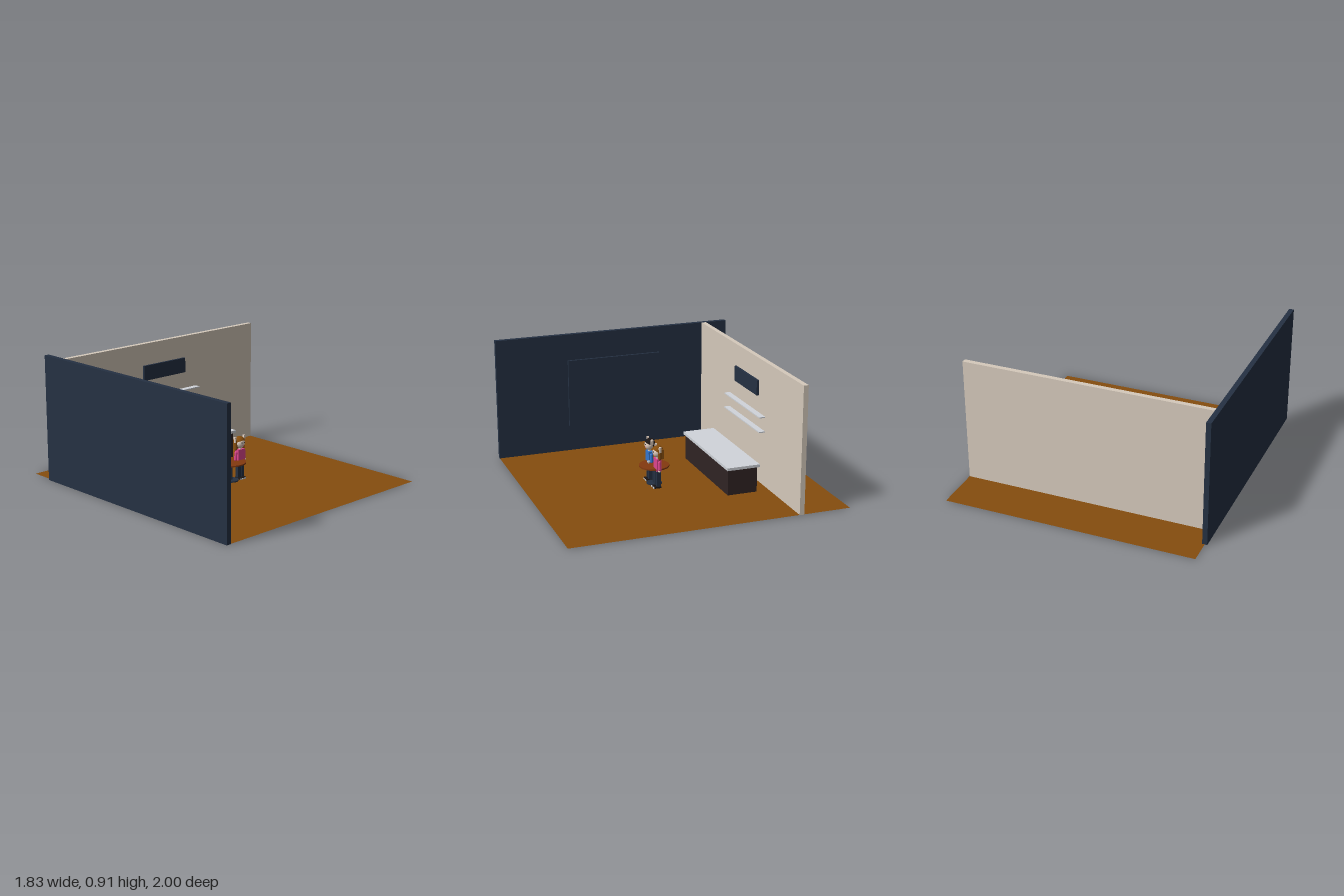
import * as THREE from 'three';

const mat = (name, color, side = THREE.FrontSide) => {
  const m = new THREE.MeshStandardMaterial({ color, side });
  m.name = name;
  return m;
};

export function createModel() {
  const wood = mat('brown wood', 0x854d0e, THREE.DoubleSide);
  const navy = mat('dark navy', 0x253143);
  const beige = mat('beige plaster', 0xd6cabc);
  const grey = mat('light grey', 0xd1d5db);
  const espresso = mat('dark espresso', 0x302424);
  const tableWood = mat('red brown', 0x84390f);
  const blue = mat('blue cloth', 0x3578d0);
  const pink = mat('pink cloth', 0xe0468f);
  const skin = mat('pale skin', 0xe6d2c2);
  const black = mat('near black', 0x1d1716);

  const root = new THREE.Group();
  root.name = 'cafeRoom';
  const add = (parent, name, geometry, material, x = 0, y = 0, z = 0) => {
    const mesh = new THREE.Mesh(geometry, material);
    mesh.name = name;
    mesh.position.set(x, y, z);
    parent.add(mesh);
    return mesh;
  };
  // Box given by its minimum and maximum on each axis
  const box = (parent, name, material, [x0, x1], [y0, y1], [z0, z1]) =>
    add(parent, name, new THREE.BoxGeometry(x1 - x0, y1 - y0, z1 - z0), material,
      (x0 + x1) / 2, (y0 + y1) / 2, (z0 + z1) / 2);

  // Room shell
  const floor = add(root, 'floor', new THREE.PlaneGeometry(1.815, 2), wood, 0.0075, 0.002, 0);
  floor.rotation.x = -Math.PI / 2;
  box(root, 'sideWall', navy, [-0.917, -0.882], [0, 0.91], [-0.82, 1]);
  box(root, 'backWall', beige, [-0.882, 0.915], [0, 0.91], [-0.657, -0.622]);
  box(root, 'wallPanel', navy, [-0.882, -0.863], [0.2, 0.712], [-0.27, 0.455]);

  // Menu board and shelves on the back wall
  box(root, 'menuBoard', navy, [-0.192, 0.208], [0.64, 0.75], [-0.622, -0.605]);
  for (const y of [0.4, 0.508]) box(root, 'shelf', grey, [-0.31, 0.325], [y, y + 0.008], [-0.622, -0.578]);

  // Service counter
  box(root, 'counterBody', espresso, [-0.405, 0.415], [0, 0.19], [-0.528, -0.308]);
  box(root, 'counterTop', grey, [-0.418, 0.434], [0.19, 0.21], [-0.54, -0.296]);

  // Round table with a cup
  const table = new THREE.Group();
  table.name = 'table';
  table.position.set(0.006, 0, 0.09);
  root.add(table);
  add(table, 'tableTop', new THREE.CylinderGeometry(0.108, 0.108, 0.01, 32), tableWood, 0, 0.138, 0);
  add(table, 'tablePost', new THREE.CylinderGeometry(0.011, 0.011, 0.133, 16), navy, 0, 0.0665, 0);
  add(table, 'tableBase', new THREE.CylinderGeometry(0.055, 0.055, 0.01, 32), navy, 0, 0.005, 0);
  add(table, 'cup', new THREE.CylinderGeometry(0.012, 0.009, 0.014, 16), grey, -0.042, 0.15, 0.026);

  // Two standing people
  const person = (name, x, shirt, hair, longHair) => {
    const p = new THREE.Group();
    p.name = name;
    p.position.set(x, 0, 0.095);
    root.add(p);
    add(p, 'torso', new THREE.BoxGeometry(0.066, 0.09, 0.034), shirt, 0, 0.175, 0);
    add(p, 'neck', new THREE.CylinderGeometry(0.011, 0.011, 0.02, 12), skin, 0, 0.226, 0);
    const head = add(p, 'head', new THREE.SphereGeometry(0.035, 20, 14), skin, 0, 0.268, 0.003);
    head.scale.set(1, 1.15, 0.9);
    // Hair cap tilted backwards so that the face stays free
    const cap = add(p, 'hairCap',
      new THREE.SphereGeometry(0.039, 20, 10, 0, Math.PI * 2, 0, Math.PI * 0.52), hair, 0, 0.273, -0.001);
    cap.scale.set(1, 1.08, 0.95);
    cap.rotation.x = -0.5;
    cap.material = hair;
    // Facial features
    for (const s of [-1, 1]) add(p, 'eye', new THREE.BoxGeometry(0.007, 0.005, 0.004), black, s * 0.012, 0.273, 0.033);
    add(p, 'mouth', new THREE.BoxGeometry(0.012, 0.003, 0.004), pink, 0, 0.252, 0.031);
    if (longHair) add(p, 'backHair', new THREE.BoxGeometry(0.072, 0.07, 0.02), hair, 0, 0.255, -0.024);
    for (const s of [-1, 1]) {
      if (longHair) add(p, 'hairLock', new THREE.CapsuleGeometry(0.011, 0.06, 4, 10), hair, s * 0.036, 0.256, -0.004);
      const arm = add(p, 'arm', new THREE.CapsuleGeometry(0.0105, 0.05, 4, 10), shirt, s * 0.042, 0.174, 0);
      arm.rotation.z = s * 0.1;
      // Pale pieces raised beside the head
      const side = add(p, 'raisedHand', new THREE.BoxGeometry(0.013, 0.042, 0.016), skin, s * 0.043, 0.293, -0.004);
      side.rotation.z = -s * 0.1;
      add(p, 'hand', new THREE.SphereGeometry(0.009, 10, 8), skin, s * 0.045, 0.135, 0.002);
      add(p, 'leg', new THREE.BoxGeometry(0.027, 0.118, 0.028), navy, s * 0.0165, 0.073, 0);
      add(p, 'shoe', new THREE.BoxGeometry(0.026, 0.014, 0.052), black, s * 0.0165, 0.007, 0.008);
      add(p, 'toeCap', new THREE.BoxGeometry(0.022, 0.009, 0.005), grey, s * 0.0165, 0.006, 0.035);
    }
  };
  // The brown hair shares the floor's brown
  person('man', -0.078, blue, black, false);
  person('woman', 0.09, pink, wood, true);

  return root;
}
